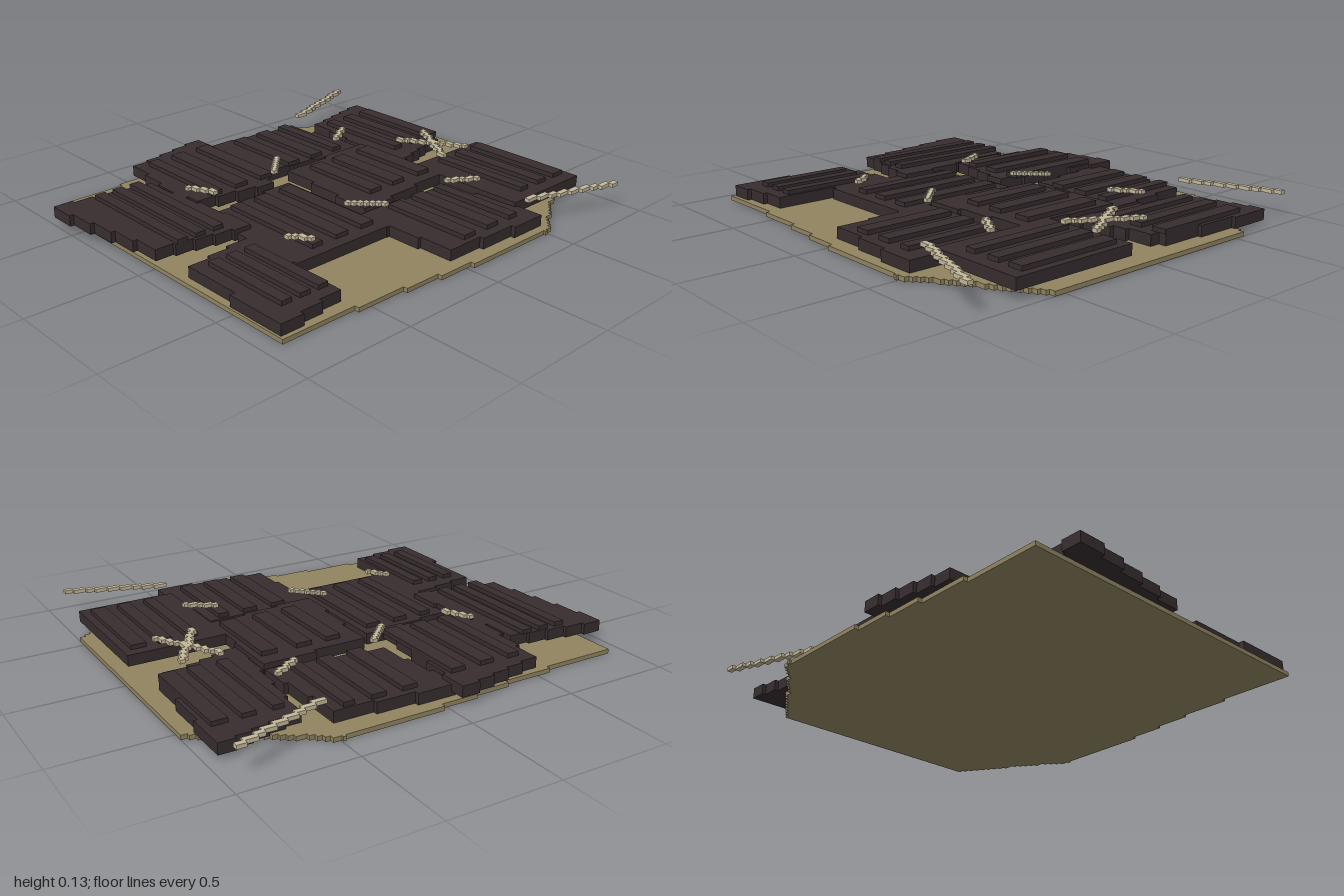
import * as THREE from 'three';

const CELL = 0.0185;

const mat = (name, color) => {
  const m = new THREE.MeshStandardMaterial({ color });
  m.name = name;
  return m;
};

// Turns slanted edges of an outline into block-like stairs
function stepped(points) {
  const out = [];
  points.forEach(([x, z], i) => {
    const [x2, z2] = points[(i + 1) % points.length];
    const dx = x2 - x, dz = z2 - z;
    out.push([x, z]);
    const n = Math.round(Math.min(Math.abs(dx), Math.abs(dz)) / CELL);
    const alongX = Math.abs(dx) > Math.abs(dz);
    for (let k = 1; k <= n; k++) {
      const a = k / (n + 1), b0 = (k - 1) / n, b1 = k / n;
      if (alongX) out.push([x + dx * a, z + dz * b0], [x + dx * a, z + dz * b1]);
      else out.push([x + dx * b0, z + dz * a], [x + dx * b1, z + dz * a]);
    }
  });
  return out;
}

// Flat slab with a stepped outline in x and z
function slab(points, bottom, height, material, name) {
  const shape = new THREE.Shape(stepped(points).map(([x, z]) => new THREE.Vector2(x, -z)));
  const geo = new THREE.ExtrudeGeometry(shape, { depth: height, bevelEnabled: false });
  geo.rotateX(-Math.PI / 2).translate(0, bottom, 0);
  const mesh = new THREE.Mesh(geo, material);
  mesh.name = name;
  return mesh;
}

function box(x0, x1, y0, y1, z0, z1, material, name) {
  const mesh = new THREE.Mesh(new THREE.BoxGeometry(x1 - x0, y1 - y0, z1 - z0), material);
  mesh.position.set((x0 + x1) / 2, (y0 + y1) / 2, (z0 + z1) / 2);
  mesh.name = name;
  return mesh;
}

export function createModel() {
  const model = new THREE.Group();
  model.name = 'platedMat';
  const tan = mat('tan backing', 0x918460);
  const dark = mat('dark plate', 0x372d2f);
  const cord = mat('pale cord', 0xc2b799);

  // Backing sheet, mirrored from its left edge
  const edge = [[0.55, -1], [0.69, -0.76], [0.78, -0.62], [0.86, -0.51], [0.86, -0.2],
    [0.8, 0.5], [0.78, 0.63], [0.78, 0.92]];
  const mirrored = edge.map(([x, z]) => [-x, z]).reverse();
  model.add(slab([...edge, ...mirrored], 0, 0.02, tan, 'backing'));
  for (const s of [-1, 1]) {
    model.add(box(s * 0.86 - 0.01, s * 0.86 + 0.01, 0, 0.02, -0.495, -0.48, tan, 'backingTab'));
  }

  // Plates: outline, bottom height, and three ribs across the given x range
  const ribs1 = [[-0.915, -0.845], [-0.79, -0.73], [-0.66, -0.61]];
  const ribs2 = [[-0.42, -0.37], [-0.295, -0.225], [-0.15, -0.08]];
  const ribs2mid = [[-0.48, -0.405], [-0.315, -0.24], [-0.17, -0.1]];
  const ribs3 = [[0.085, 0.155], [0.23, 0.3], [0.375, 0.43]];
  const ribs4 = [[0.595, 0.645], [0.685, 0.735], [0.775, 0.825]];
  const LOW = 0.02, HIGH = 0.04;

  function plate(name, bottom, x0, x1, ribs, outline) {
    const g = new THREE.Group();
    g.name = name;
    g.add(slab(outline, bottom, 0.05, dark, 'plateBody'));
    for (const [z0, z1] of ribs) {
      g.add(box(x0, x1, bottom + 0.05, bottom + 0.07, z0, z1, dark, 'rib'));
    }
    model.add(g);
  }

  plate('backRightPlate', LOW, -0.635, -0.145, ribs1, [[-0.76, -0.95], [-0.15, -0.915],
    [-0.15, -0.88], [-0.1, -0.88], [-0.1, -0.83], [-0.02, -0.5], [-0.69, -0.57]]);
  plate('backLeftPlate', HIGH, 0.14, 0.63, ribs1,
    [[0.09, -0.95], [0.69, -0.95], [0.69, -0.495], [0.09, -0.495]]);
  plate('upperRightPlate', LOW, -0.75, -0.335, ribs2,
    [[-0.76, -0.47], [-0.29, -0.51], [-0.35, 0.03], [-0.8, 0.07]]);
  plate('upperMiddlePlate', HIGH, -0.205, 0.195, ribs2mid,
    [[-0.28, -0.51], [0.25, -0.5], [0.29, 0.03], [-0.26, -0.01]]);
  plate('upperLeftPlate', LOW, 0.325, 0.755, ribs2,
    [[0.31, -0.47], [0.82, -0.51], [0.78, 0.03], [0.29, 0.06]]);
  plate('lowerRightPlate', HIGH, -0.75, -0.26, ribs3,
    [[-0.87, 0.05], [-0.2, 0.125], [-0.26, 0.51], [-0.4, 0.53], [-0.8, 0.485]]);
  plate('lowerMiddlePlate', LOW, -0.13, 0.395, ribs3, [[-0.185, 0.05], [0.45, 0.05],
    [0.45, 0.56], [0.08, 0.56], [0.08, 0.49], [-0.07, 0.5], [-0.15, 0.51]]);
  plate('frontRightPlate', HIGH, -0.585, 0.03, ribs4,
    [[-0.57, 0.54], [0.08, 0.49], [0.01, 0.92], [-0.635, 1]]);
  plate('frontLeftPlate', LOW, 0.23, 0.665, ribs4,
    [[0.14, 0.56], [0.72, 0.58], [0.76, 0.91], [0.18, 0.885]]);

  // Cords: chains of small blocks
  function lace(name, x0, z0, x1, z1) {
    const g = new THREE.Group();
    g.name = name;
    const n = Math.round(Math.max(Math.abs(x1 - x0), Math.abs(z1 - z0)) / CELL);
    const h = 0.0125;
    for (let i = 0; i <= n; i++) {
      const x = x0 + Math.round((x1 - x0) * i / n / CELL) * CELL;
      const z = z0 + Math.round((z1 - z0) * i / n / CELL) * CELL;
      g.add(box(x - h, x + h, 0.11, 0.127, z - h, z + h, cord, 'cordBlock'));
    }
    model.add(g);
  }

  for (const s of [-1, 1]) {
    lace('sideCord', s * 0.895, -0.935, s * 0.74, -0.51);
    lace('crossCord', s * 0.135, -0.805, s * -0.135, -0.635);
    lace('upperCord', s * 0.44, -0.53, s * 0.37, -0.42);
    lace('middleCord', s * 0.355, -0.025, s * 0.245, 0.09);
  }
  lace('lowerCord', -0.35, 0.49, -0.235, 0.43);
  lace('lowerCord', 0.32, 0.49, 0.4, 0.43);

  return model;
}
